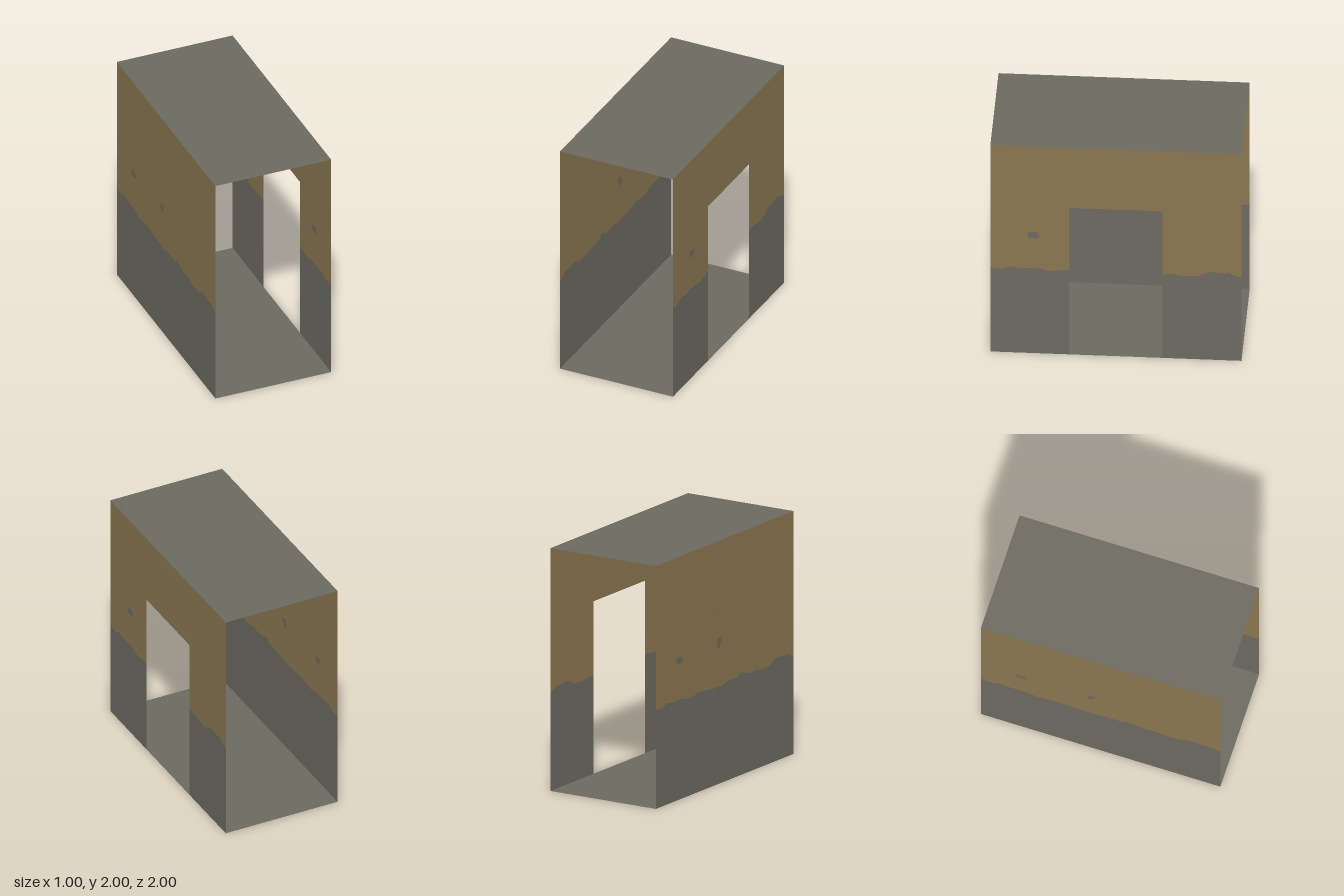
import * as THREE from 'three';

const plaster = new THREE.MeshStandardMaterial({ color: 0x8a7751, side: THREE.DoubleSide });
plaster.name = 'ochre plaster';
const stone = new THREE.MeshStandardMaterial({ color: 0x6c6a60, side: THREE.DoubleSide });
stone.name = 'grey concrete';

const DOOR = { half: 0.372, top: 1.42 };

// ragged paint line along a wall: [distance along wall, height]
const paintLine = [
  [-1, 0.805], [-0.925, 0.835], [-0.89, 0.85], [-0.86, 0.84], [-0.79, 0.845], [-0.745, 0.85],
  [-0.695, 0.83], [-0.66, 0.805], [-0.525, 0.8], [-0.445, 0.815], [-DOOR.half, 0.81],
  [-0.285, 0.825], [-0.24, 0.85], [-0.215, 0.84], [-0.18, 0.815], [-0.035, 0.815],
  [0.045, 0.795], [0.1, 0.805], [0.17, 0.8], [0.285, 0.81], [DOOR.half, 0.82],
  [0.435, 0.81], [0.54, 0.8], [0.595, 0.82], [0.7, 0.825], [0.755, 0.82], [0.8, 0.825],
  [0.845, 0.835], [0.9, 0.81], [0.97, 0.81], [1, 0.83],
];

// chips where the paint has come off
const chips = [
  [[0.705, 1.16], [0.705, 1.13], [0.69, 1.113], [0.63, 1.113], [0.615, 1.125], [0.615, 1.16], [0.63, 1.173], [0.69, 1.173]],
  [[0.035, 1.2], [0.095, 1.2], [0.115, 1.17], [0.115, 1.14], [0.1, 1.115], [0.07, 1.12], [0.06, 1.155], [0.04, 1.17]],
  [[0.07, 1.38], [0.08, 1.372], [0.09, 1.38], [0.08, 1.39]],
  [[0.243, 1.225], [0.25, 1.22], [0.257, 1.225], [0.25, 1.231]],
];

const toShape = (pts) => new THREE.Shape(pts.map(([x, y]) => new THREE.Vector2(x, y)));

function addMesh(group, name, geometry, material) {
  const mesh = new THREE.Mesh(geometry, material);
  mesh.name = name;
  group.add(mesh);
  return mesh;
}

// one side wall, drawn flat and turned to stand at x = 0.5
function makeWall(name, hasDoor) {
  const panel = new THREE.Group();
  const left = paintLine.filter(([s]) => s <= -DOOR.half);
  const right = paintLine.filter(([s]) => s >= DOOR.half);
  const runs = hasDoor ? [left, right] : [paintLine];
  const lowerEdge = hasDoor
    ? [...left, [-DOOR.half, DOOR.top], [DOOR.half, DOOR.top], ...right]
    : paintLine;
  const wallChips = chips.filter((c) => !hasDoor || c[0][0] > DOOR.half);

  const upper = toShape([...lowerEdge, [1, 2], [-1, 2]]);
  upper.holes = wallChips.map(toShape);
  addMesh(panel, 'upperPlaster', new THREE.ShapeGeometry(upper), plaster);

  const bare = runs.map((run) =>
    toShape([[run[0][0], 0], [run[run.length - 1][0], 0], ...[...run].reverse()]));
  addMesh(panel, 'lowerWall', new THREE.ShapeGeometry(bare), stone);
  addMesh(panel, 'paintChips', new THREE.ShapeGeometry(wallChips.map(toShape)), stone);

  panel.rotation.y = -Math.PI / 2;
  panel.position.x = 0.5;
  const wall = new THREE.Group();
  wall.name = name;
  wall.add(panel);
  return wall;
}

export function createModel() {
  const model = new THREE.Group();
  model.name = 'corridorSection';

  // floor and ceiling sheets
  for (const [name, y] of [['floor', 0], ['ceiling', 2]]) {
    const sheet = addMesh(model, name, new THREE.PlaneGeometry(1, 2), stone);
    sheet.rotation.x = -Math.PI / 2;
    sheet.position.y = y;
  }

  // doorway wall on the left, solid wall turned round to the right
  const solidWall = makeWall('solidWall', false);
  solidWall.rotation.y = Math.PI;
  model.add(makeWall('doorwayWall', true), solidWall);
  return model;
}
